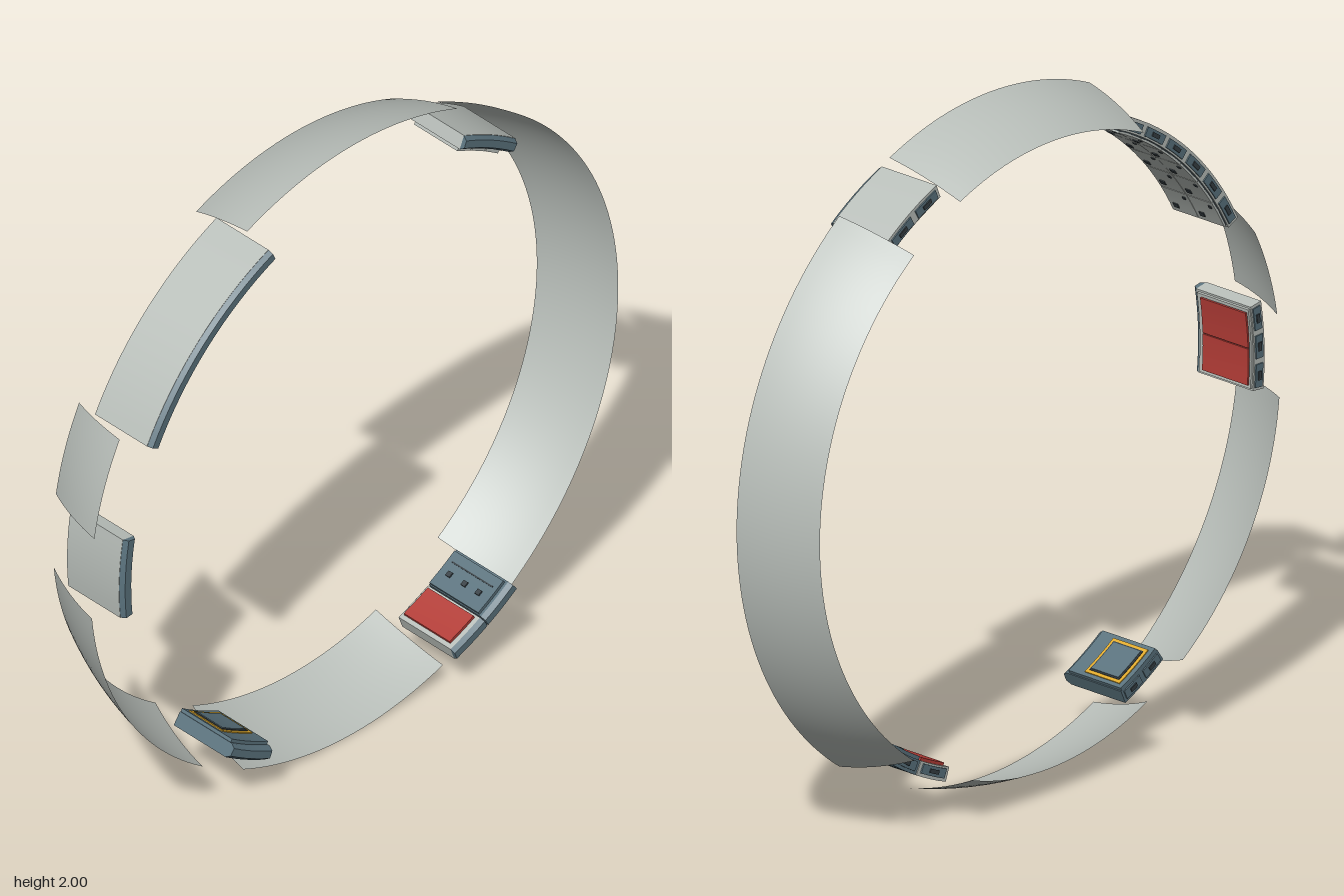
import * as THREE from 'three';
import { toCreasedNormals } from 'three/addons/utils/BufferGeometryUtils.js';

const mat = (name, color, extra = {}) => Object.assign(new THREE.MeshStandardMaterial({ color, ...extra }), { name });
const rad = THREE.MathUtils.degToRad;

// Point on the ring: angle 0 faces the front, 90 points up
const point = (x, r, deg) => [x, 1 + r * Math.sin(rad(deg)), r * Math.cos(rad(deg))];

// Sweeps a closed counterclockwise convex (x, radius) section along the ring
function sweep(section, a0, a1) {
  const n = Math.max(1, Math.ceil((a1 - a0) / 2.5));
  const m = section.length;
  const pos = [];
  const put = (k, i) => pos.push(...point(...section[i % m], a0 + (a1 - a0) * k / n));
  for (let k = 0; k < n; k++) {
    for (let i = 0; i < m; i++) {
      put(k, i + 1); put(k, i); put(k + 1, i);
      put(k, i + 1); put(k + 1, i); put(k + 1, i + 1);
    }
  }
  for (let i = 1; i < m - 1; i++) {
    put(0, 0); put(0, i); put(0, i + 1);
    put(n, 0); put(n, i + 1); put(n, i);
  }
  const geo = new THREE.BufferGeometry();
  geo.setAttribute('position', new THREE.Float32BufferAttribute(pos, 3));
  return toCreasedNormals(geo, 0.4);
}

const rect = (x0, x1, r0, r1) => [[x0, r0], [x1, r0], [x1, r1], [x0, r1]];

export function createModel() {
  const model = new THREE.Group();
  const shellGray = mat('shell gray', 0xb9bfba, { side: THREE.DoubleSide });
  const gray = mat('light gray', 0xb9bfba);
  const teal = mat('slate blue', 0x5a727d);
  const dark = mat('dark slate', 0x353e43);
  const red = mat('red', 0xb23c36);
  const yellow = mat('yellow', 0xe0aa2c);

  const group = (name) => {
    const g = new THREE.Group();
    g.name = name;
    model.add(g);
    return g;
  };
  const add = (parent, name, section, a0, a1, material) => {
    const mesh = new THREE.Mesh(sweep(section, a0, a1), material);
    mesh.name = name;
    parent.add(mesh);
  };

  // Curved open shell segments, narrowing towards -x
  const profile = new THREE.QuadraticBezierCurve(
    new THREE.Vector2(-0.155, 0.918), new THREE.Vector2(-0.04, 0.977), new THREE.Vector2(0.08, 1));
  const shells = [
    ['topShell', 66, 113], ['backShell', 126.2, 233.8], ['bottomShell', 250.4, 295],
    ['lowerFrontShell', 305.1, 354.3], ['upperFrontShell', 9.6, 27.1],
  ];
  for (const [name, a0, a1] of shells) {
    const segs = Math.ceil((a1 - a0) / 2);
    const rows = profile.getPoints(8);
    const pos = [], idx = [];
    for (let k = 0; k <= segs; k++)
      for (const p of rows) pos.push(...point(p.x, p.y, a0 + (a1 - a0) * k / segs));
    for (let k = 0; k < segs; k++)
      for (let j = 0; j < 8; j++) {
        const a = k * 9 + j, b = a + 9;
        idx.push(a, a + 1, b, a + 1, b + 1, b);
      }
    // corners ordered so that the fronts face away from the axis
    for (let i = 0; i < idx.length; i += 3) [idx[i + 1], idx[i + 2]] = [idx[i + 2], idx[i + 1]];
    const geo = new THREE.BufferGeometry();
    geo.setAttribute('position', new THREE.Float32BufferAttribute(pos, 3));
    geo.setIndex(idx);
    geo.computeVertexNormals();
    const mesh = new THREE.Mesh(geo, shellGray);
    mesh.name = name;
    model.add(mesh);
  }

  // Module base: curved body, bevelled rail on the +x side, ribs on the -x side
  const lip = [[0.134, 0.903], [0.148, 0.912], [0.148, 0.935], [0.134, 0.944]];
  const base = (g, a0, a1, bodyMat, ribs) => {
    add(g, 'body', rect(-0.07, 0.134, 0.903, 0.945), a0, a1, bodyMat);
    add(g, 'sideRail', lip, a0, a1, teal);
    const step = (a1 - a0) / ribs;
    for (let i = 0; i < ribs; i++) {
      const s = a0 + i * step;
      add(g, 'sideRib', rect(-0.074, -0.07, 0.908, 0.936), s + step * 0.1, s + step * 0.9, teal);
      add(g, 'sidePort', rect(-0.077, -0.074, 0.916, 0.928), s + step * 0.35, s + step * 0.65, dark);
    }
  };

  // Long module with two columns of lockers on the inside
  const locker = group('lockerModule');
  base(locker, 27.4, 66.4, gray, 6);
  add(locker, 'lockerSeams', rect(-0.066, 0.126, 0.899, 0.903), 28, 65.8, dark);
  for (let i = 0; i < 6; i++) {
    const s = 28 + i * 6.3;
    for (const x of [-0.066, 0.031]) {
      add(locker, 'lockerDoor', rect(x, x + 0.095, 0.894, 0.9), s + 0.05, s + 6.2, gray);
      add(locker, 'lockerHandle', rect(x + 0.062, x + 0.08, 0.891, 0.894), s + 1.2, s + 2.2, dark);
      add(locker, 'lockerLatch', rect(x + 0.012, x + 0.022, 0.891, 0.894), s + 4.6, s + 5.2, dark);
    }
  }

  // Front module with two red panels
  const front = group('frontModule');
  base(front, -5.8, 10, gray, 3);
  add(front, 'panelFrame', rect(-0.066, 0.126, 0.896, 0.903), -5.4, 9.6, gray);
  add(front, 'panelSeam', rect(-0.06, 0.11, 0.8945, 0.896), -4.8, 9, dark);
  add(front, 'redPanel', rect(-0.06, 0.11, 0.89, 0.895), -4.8, 2, red);
  add(front, 'redPanel', rect(-0.06, 0.11, 0.89, 0.895), 2.2, 9, red);

  // Lower front module with a framed pad
  const pad = group('padModule');
  base(pad, 294.4, 304.9, teal, 2);
  add(pad, 'deck', rect(-0.07, 0.126, 0.893, 0.903), 294.6, 304.7, teal);
  add(pad, 'yellowFrame', rect(-0.055, 0.075, 0.89, 0.893), 295.4, 303.9, yellow);
  add(pad, 'padInset', rect(-0.045, 0.065, 0.888, 0.89), 296.05, 303.25, dark);
  add(pad, 'padPlate', rect(-0.04, 0.06, 0.886, 0.888), 296.35, 302.95, teal);

  // Lower back module: slate console half and gray half with a red panel
  const console_ = group('consoleModule');
  base(console_, 234, 241.8, teal, 1);
  base(console_, 242, 249.8, gray, 1);
  add(console_, 'consoleTop', rect(-0.066, 0.126, 0.893, 0.903), 234.4, 241.6, teal);
  add(console_, 'redPanel', rect(-0.06, 0.12, 0.894, 0.903), 242.5, 248.9, red);
  for (const x of [-0.03, 0.03, 0.085])
    add(console_, 'button', rect(x - 0.008, x + 0.008, 0.888, 0.893), 238, 239, dark);
  add(console_, 'consoleSeam', rect(-0.05, 0.11, 0.891, 0.893), 236.2, 236.45, dark);

  // Upper back module with ceiling panels
  const ceiling = group('ceilingModule');
  base(ceiling, 112.6, 126.2, gray, 2);
  add(ceiling, 'ceilingSeams', rect(-0.06, 0.12, 0.898, 0.903), 113.4, 125.4, dark);
  for (let i = 0; i < 3; i++)
    add(ceiling, 'ceilingPanel', rect(-0.055, 0.115, 0.887, 0.899), 113.7 + i * 3.9, 117.3 + i * 3.9, gray);

  return model;
}
